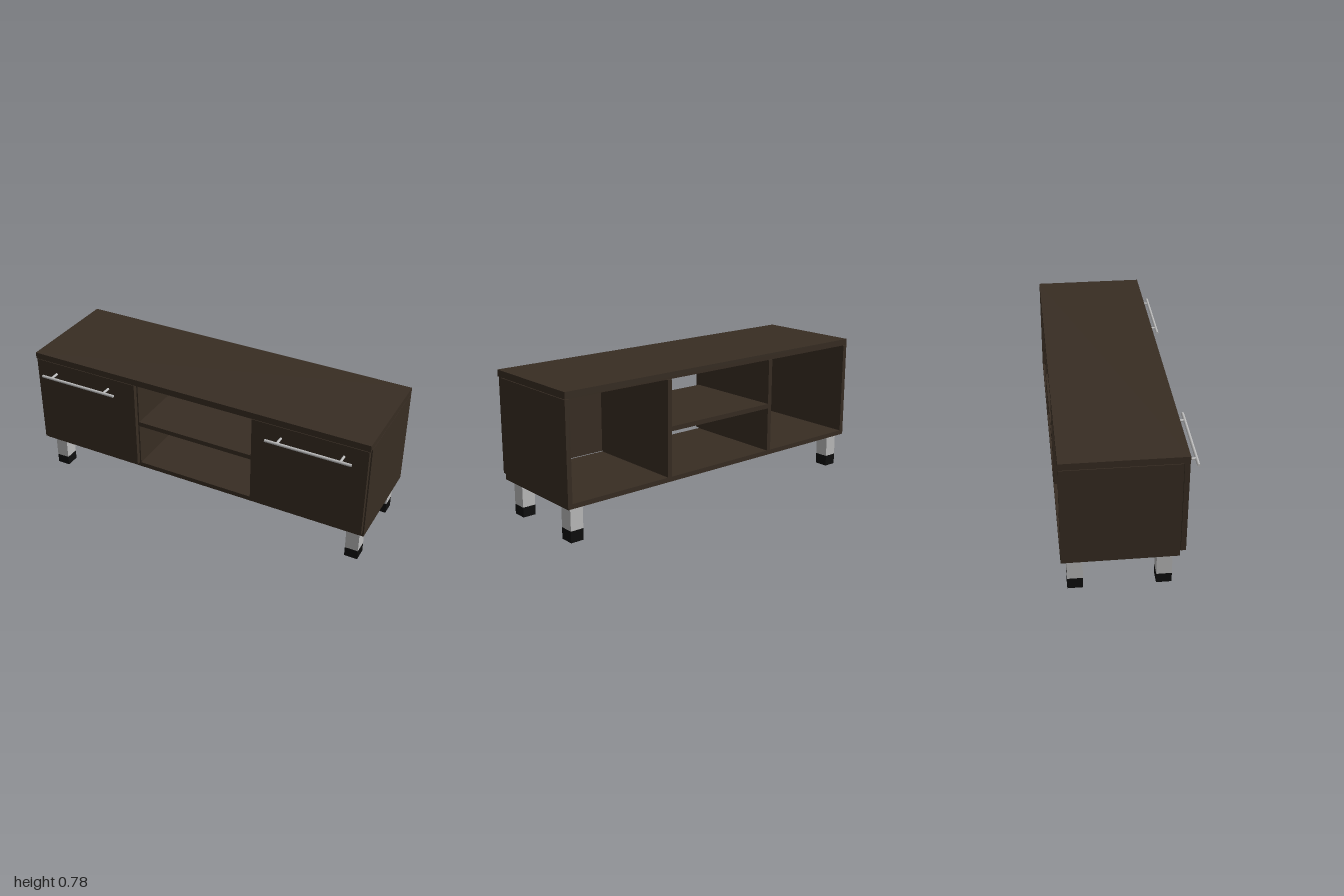
import * as THREE from 'three';

export function createModel() {
  const model = new THREE.Group();
  model.name = 'mediaCabinet';

  const material = (name, color) => {
    const m = new THREE.MeshStandardMaterial({ color });
    m.name = name;
    return m;
  };
  const wood = material('darkWood', 0x382d23);
  const metal = material('brushedMetal', 0xbcbcbc);
  const rubber = material('blackRubber', 0x0e0e0e);

  // Box given by its lower and upper corners
  const box = (name, mat, [x0, y0, z0], [x1, y1, z1]) => {
    const mesh = new THREE.Mesh(new THREE.BoxGeometry(x1 - x0, y1 - y0, z1 - z0), mat);
    mesh.position.set((x0 + x1) / 2, (y0 + y1) / 2, (z0 + z1) / 2);
    mesh.name = name;
    model.add(mesh);
  };
  // The same box on either side of x = 0
  const pair = (name, mat, [x0, y0, z0], [x1, y1, z1]) => {
    box(name + 'Left', mat, [x0, y0, z0], [x1, y1, z1]);
    box(name + 'Right', mat, [-x1, y0, z0], [-x0, y1, z1]);
  };

  // Carcass, open at the back
  box('topPanel', wood, [-1, 0.744, -0.34], [1, 0.78, 0.28]);
  box('bottomPanel', wood, [-1, 0.191, -0.34], [1, 0.217, 0.25]);
  pair('sidePanel', wood, [0.974, 0.217, -0.34], [1, 0.741, 0.25]);
  pair('divider', wood, [0.35, 0.217, -0.34], [0.376, 0.741, 0.25]);
  box('middleShelf', wood, [-0.35, 0.465, -0.34], [0.35, 0.491, 0.25]);

  // Doors stand just clear of the carcass
  pair('door', wood, [0.355, 0.219, 0.254], [0.994, 0.741, 0.28]);

  // Square legs with rubber feet
  for (const [place, z0, foot] of [['front', 0.14, 0.055], ['back', -0.309, 0.062]]) {
    pair(place + 'Leg', metal, [0.895, foot, z0], [0.969, 0.191, z0 + 0.079]);
    pair(place + 'Foot', rubber, [0.895, 0, z0], [0.969, foot, z0 + 0.079]);
  }

  // Bar handles on two posts
  for (const side of [1, -1]) {
    const handle = new THREE.Group();
    handle.name = side > 0 ? 'handleLeft' : 'handleRight';
    const bar = new THREE.Mesh(new THREE.CylinderGeometry(0.008, 0.008, 0.47, 8), metal);
    bar.name = 'bar';
    bar.rotation.z = Math.PI / 2;
    bar.position.set(side * 0.69, 0.675, 0.334);
    handle.add(bar);
    for (const x of [0.522, 0.866]) {
      const post = new THREE.Mesh(new THREE.CylinderGeometry(0.007, 0.007, 0.054, 8), metal);
      post.name = 'post';
      post.rotation.x = Math.PI / 2;
      post.position.set(side * x, 0.675, 0.307);
      handle.add(post);
    }
    model.add(handle);
  }
  return model;
}
